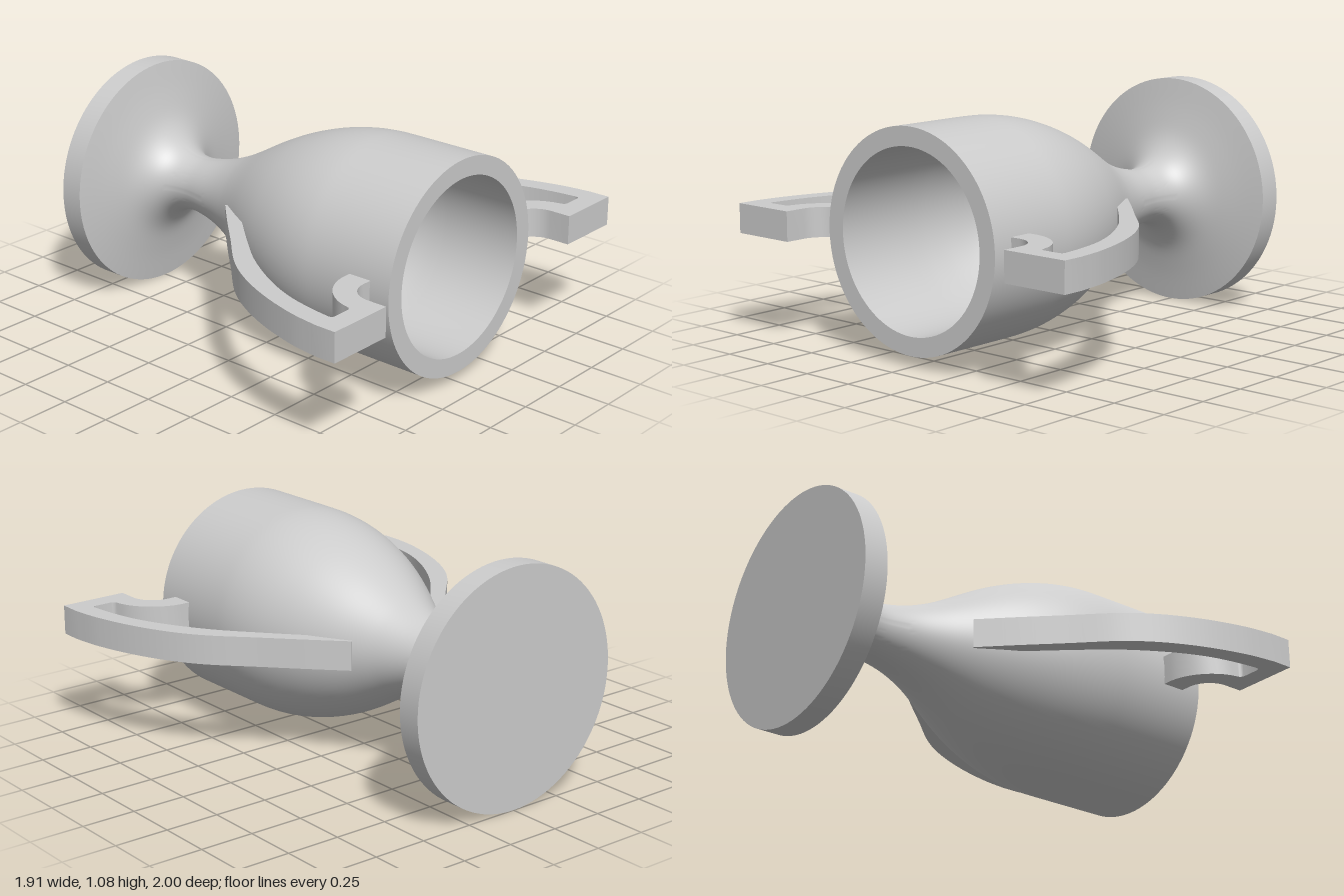
import * as THREE from 'three';
import { toCreasedNormals } from 'three/addons/utils/BufferGeometryUtils.js';

const AXIS_Y = 0.54;
const vec = (pts) => pts.map(([x, y]) => new THREE.Vector2(x, y));
const smooth = (pts, n) => new THREE.SplineCurve(vec(pts)).getPoints(n);

// Turned part whose axis lies along z; profile points are (radius, z)
function turned(name, profile, material) {
  const geo = new THREE.LatheGeometry(profile, 96).rotateX(Math.PI / 2);
  const mesh = new THREE.Mesh(toCreasedNormals(geo, 0.6), material);
  mesh.name = name;
  mesh.position.y = AXIS_Y;
  return mesh;
}

// Flat handle, outlined in x-z and extruded vertically; side = 1 or -1
function handle(name, side, material) {
  const shape = new THREE.Shape();
  const flip = (pts) => vec(pts.map(([x, z]) => [x * side, z]));
  shape.moveTo(0.22 * side, -0.2);
  // outer sweep
  shape.lineTo(0.26 * side, -0.235);
  shape.splineThru(flip([[0.4, -0.09], [0.54, 0.06], [0.7, 0.23], [0.8, 0.38], [0.88, 0.56], [0.935, 0.75], [0.957, 0.9]]));
  // square foot and the hook back to the cup
  shape.lineTo(0.957 * side, 1);
  shape.lineTo(0.642 * side, 1);
  shape.lineTo(0.642 * side, 0.9);
  shape.bezierCurveTo(0.64 * side, 0.84, 0.59 * side, 0.79, 0.53 * side, 0.79);
  shape.lineTo(0.45 * side, 0.79);
  shape.lineTo(0.45 * side, 0.68);
  shape.lineTo(0.53 * side, 0.68);
  shape.bezierCurveTo(0.64 * side, 0.69, 0.73 * side, 0.78, 0.745 * side, 0.885);
  // inner opening
  shape.quadraticCurveTo(0.75 * side, 0.905, 0.77 * side, 0.905);
  shape.lineTo(0.845 * side, 0.905);
  shape.quadraticCurveTo(0.862 * side, 0.905, 0.862 * side, 0.885);
  shape.splineThru(flip([[0.845, 0.76], [0.81, 0.62], [0.74, 0.46], [0.63, 0.28], [0.5, 0.12], [0.36, -0.04]]));
  shape.closePath();

  const geo = new THREE.ExtrudeGeometry(shape, { depth: 0.135, bevelEnabled: false, curveSegments: 10 });
  geo.rotateX(Math.PI / 2);
  const mesh = new THREE.Mesh(toCreasedNormals(geo, 0.5), material);
  mesh.name = name;
  mesh.position.y = 0.61;
  return mesh;
}

export function createModel() {
  const group = new THREE.Group();
  group.name = 'trophyCup';
  const grey = new THREE.MeshStandardMaterial({ color: 0xcccccc });

  // Round base plate
  group.add(turned('base', vec([[0, -1], [0.538, -1], [0.538, -0.89], [0, -0.89]]), grey));

  // Flared stem and cup wall, then down the hollow inside
  const outside = smooth([
    [0.538, -0.89], [0.39, -0.862], [0.27, -0.828], [0.19, -0.775], [0.145, -0.71],
    [0.13, -0.63], [0.14, -0.54], [0.165, -0.44], [0.204, -0.34], [0.25, -0.25],
    [0.33, -0.11], [0.385, 0], [0.425, 0.1], [0.456, 0.2], [0.477, 0.3], [0.488, 0.4], [0.49, 0.5],
  ], 80);
  const inside = smooth([
    [0.405, 0.5], [0.4, 0.4], [0.384, 0.27], [0.35, 0.12], [0.3, 0], [0.235, -0.11],
    [0.16, -0.2], [0.08, -0.25], [0, -0.265],
  ], 40);
  const rim = vec([[0.49, 0.89], [0.405, 0.89]]);
  group.add(turned('cup', [...outside, ...rim, ...inside], grey));

  // Pair of handles
  group.add(handle('leftHandle', 1, grey), handle('rightHandle', -1, grey));
  return group;
}
